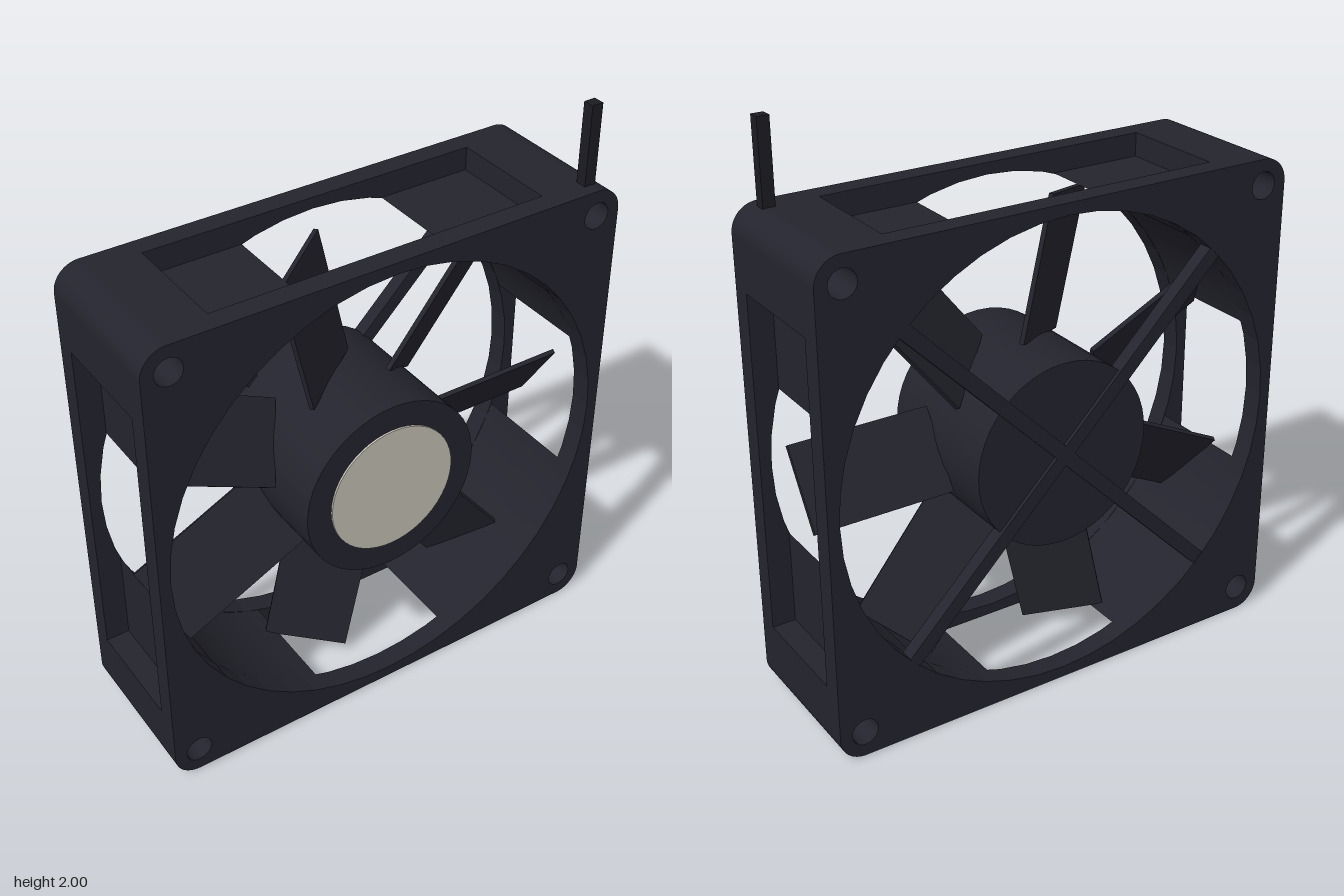
import * as THREE from 'three';

const CY = 0.86;      // height of the rotor axis
const HALF = 0.86;    // half width of the square frame
const DEPTH = 0.27;   // half depth of the frame
const BORE = 0.82, CORNER = 0.09, HOLE = 0.047, HOLE_AT = 0.77;
const POCKET = 0.6, POCKET_Z = 0.195, FLOOR = 0.777;

export function createModel() {
  const dark = new THREE.MeshStandardMaterial({ color: 0x24242e });
  dark.name = 'dark plastic';
  const cableBlack = new THREE.MeshStandardMaterial({ color: 0x1c1c23 });
  cableBlack.name = 'cable black';
  const cream = new THREE.MeshStandardMaterial({ color: 0xc8c4b6 });
  cream.name = 'cream label';

  const model = new THREE.Group();
  model.name = 'coolingFan';
  const body = new THREE.Group();
  body.name = 'fanBody';
  body.position.y = CY;
  model.add(body);

  const add = (parent, name, geometry, material, x = 0, y = 0, z = 0) => {
    const mesh = new THREE.Mesh(geometry, material);
    mesh.name = name;
    mesh.position.set(x, y, z);
    parent.add(mesh);
    return mesh;
  };
  const circle = (x, y, r) => new THREE.Path().absarc(x, y, r, 0, Math.PI * 2, true);
  const extrude = (shape, depth) =>
    new THREE.ExtrudeGeometry(shape, { depth, bevelEnabled: false, curveSegments: 24 });

  // Front and back frame plates: rounded square with bore and screw holes
  const plate = new THREE.Shape();
  const c = HALF - CORNER;
  [[c, c], [-c, c], [-c, -c], [c, -c]].forEach(([x, y], i) =>
    plate.absarc(x, y, CORNER, i * Math.PI / 2, (i + 1) * Math.PI / 2, false));
  plate.closePath();
  plate.holes.push(circle(0, 0, BORE));
  for (const sx of [-1, 1]) for (const sy of [-1, 1])
    plate.holes.push(circle(sx * HOLE_AT, sy * HOLE_AT, HOLE));
  const plateGeometry = extrude(plate, DEPTH - POCKET_Z);
  add(body, 'frontFramePlate', plateGeometry, dark, 0, 0, POCKET_Z);
  add(body, 'backFramePlate', plateGeometry, dark, 0, 0, -DEPTH);

  // Corner posts between the plates; the gaps form the open side pockets
  const post = new THREE.Shape();
  const open = Math.acos(FLOOR / BORE);
  post.moveTo(FLOOR, POCKET);
  post.lineTo(HALF, POCKET);
  post.absarc(c, c, CORNER, 0, Math.PI / 2, false);
  post.lineTo(POCKET, HALF);
  post.lineTo(POCKET, FLOOR);
  post.absarc(0, 0, BORE, Math.PI / 2 - open, open, true);
  post.closePath();
  post.holes.push(circle(HOLE_AT, HOLE_AT, HOLE));
  const postGeometry = extrude(post, POCKET_Z * 2);
  for (let i = 0; i < 4; i++)
    add(body, 'cornerPost', postGeometry, dark, 0, 0, -POCKET_Z).rotation.z = i * Math.PI / 2;

  // Hub with its round label
  const hub = new THREE.CylinderGeometry(0.325, 0.325, 0.515, 48).rotateX(Math.PI / 2);
  add(body, 'hub', hub, dark, 0, 0, 0.0025);
  const label = new THREE.CylinderGeometry(0.235, 0.235, 0.008, 48).rotateX(Math.PI / 2);
  add(body, 'hubLabel', label, cream, 0, 0, 0.263);

  // Seven pitched blades
  const bladeGeometry = new THREE.BoxGeometry(0.5, 0.292, 0.016);
  for (let i = 0; i < 7; i++) {
    const arm = new THREE.Group();
    arm.name = 'bladeArm';
    arm.rotation.z = i * Math.PI * 2 / 7;
    body.add(arm);
    add(arm, 'blade', bladeGeometry, dark, 0.566, 0, 0).rotation.x = 0.585;
  }

  // Crossed support struts at the back
  const strutGeometry = new THREE.BoxGeometry(1.66, 0.05, 0.05);
  for (const s of [-1, 1])
    add(body, 'backStrut', strutGeometry, dark, 0, 0, -0.243).rotation.z = s * Math.PI / 4;

  // Cable leaving the top of the frame
  add(model, 'cable', new THREE.BoxGeometry(0.042, 0.3, 0.04), cableBlack, 0.77, 1.85, 0.205);

  return model;
}
